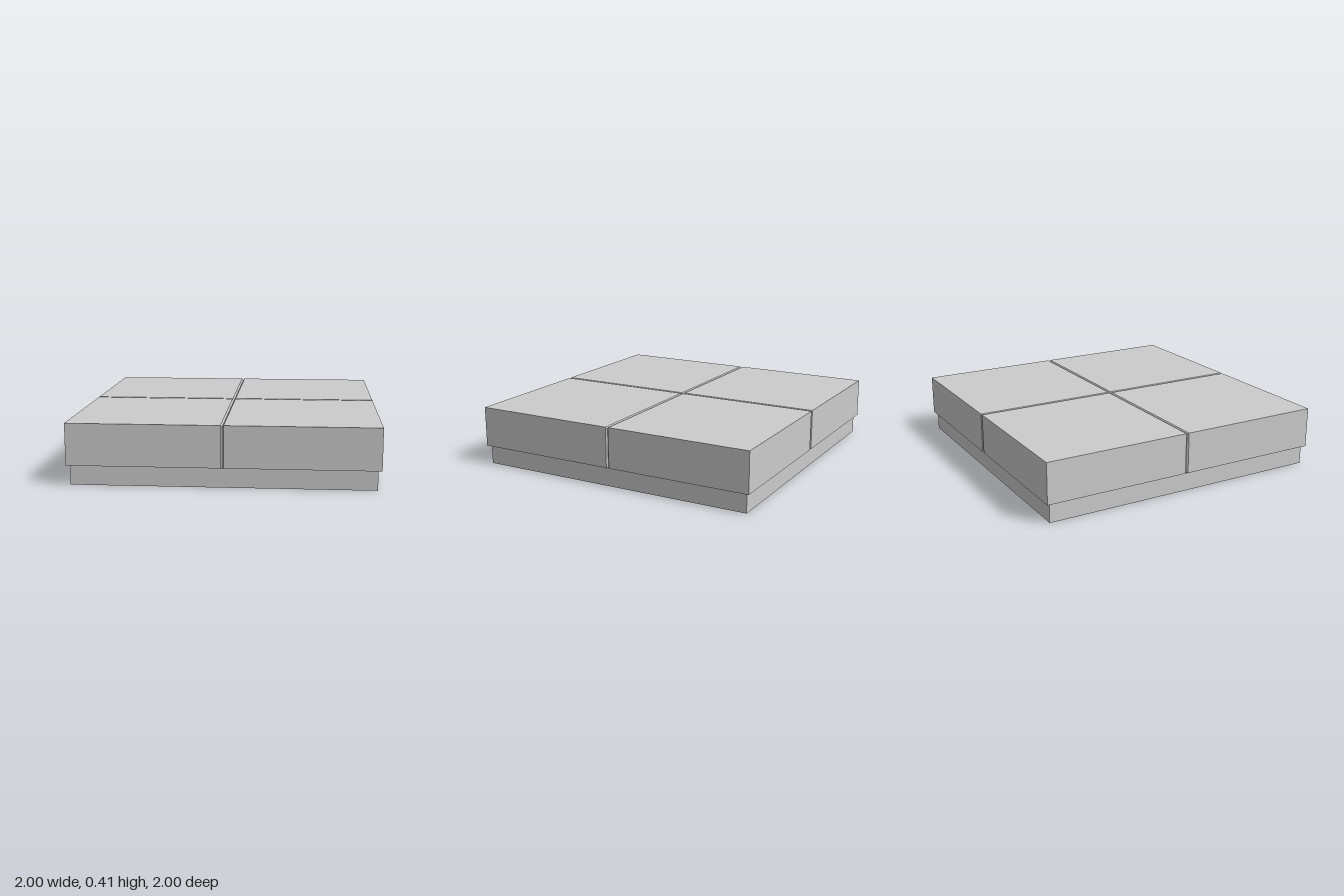
import * as THREE from 'three';
import { ConvexGeometry } from 'three/addons/geometries/ConvexGeometry.js';

const BASE_TOP = 0.13, TOP = 0.405, C = 0.01; // C: chamfer forming the V-grooves

// One quarter of the slab, chamfered along the edges that meet its neighbours
function quarterBlock(sx, sz) {
  const points = [
    // lower face
    [0, BASE_TOP, 0], [0, BASE_TOP, 1 - C], [C, BASE_TOP, 1],
    [1, BASE_TOP, 1], [1, BASE_TOP, C], [1 - C, BASE_TOP, 0],
    // groove bottom
    [0, TOP - C, 0], [0, TOP - C, 1 - C], [1 - C, TOP - C, 0],
    // upper face
    [C, TOP, C], [C, TOP, 1], [1, TOP, 1], [1, TOP, C],
  ];
  return new ConvexGeometry(points.map(([x, y, z]) => new THREE.Vector3(x * sx, y, z * sz)));
}

export function createModel() {
  const model = new THREE.Group();
  model.name = 'pavingBlock';
  const material = new THREE.MeshStandardMaterial({ color: 0xcccccc, flatShading: true });

  // Recessed plinth
  const base = new THREE.Mesh(new THREE.BoxGeometry(1.955, BASE_TOP, 1.955), material);
  base.position.y = BASE_TOP / 2;
  base.name = 'base';
  model.add(base);

  // Four blocks divided by a cross of V-grooves
  const slab = new THREE.Group();
  slab.name = 'groovedSlab';
  for (const [sx, side] of [[1, 'Left'], [-1, 'Right']]) {
    for (const [sz, end] of [[1, 'front'], [-1, 'back']]) {
      const block = new THREE.Mesh(quarterBlock(sx, sz), material);
      block.name = `${end}${side}Block`;
      slab.add(block);
    }
  }
  model.add(slab);
  return model;
}
